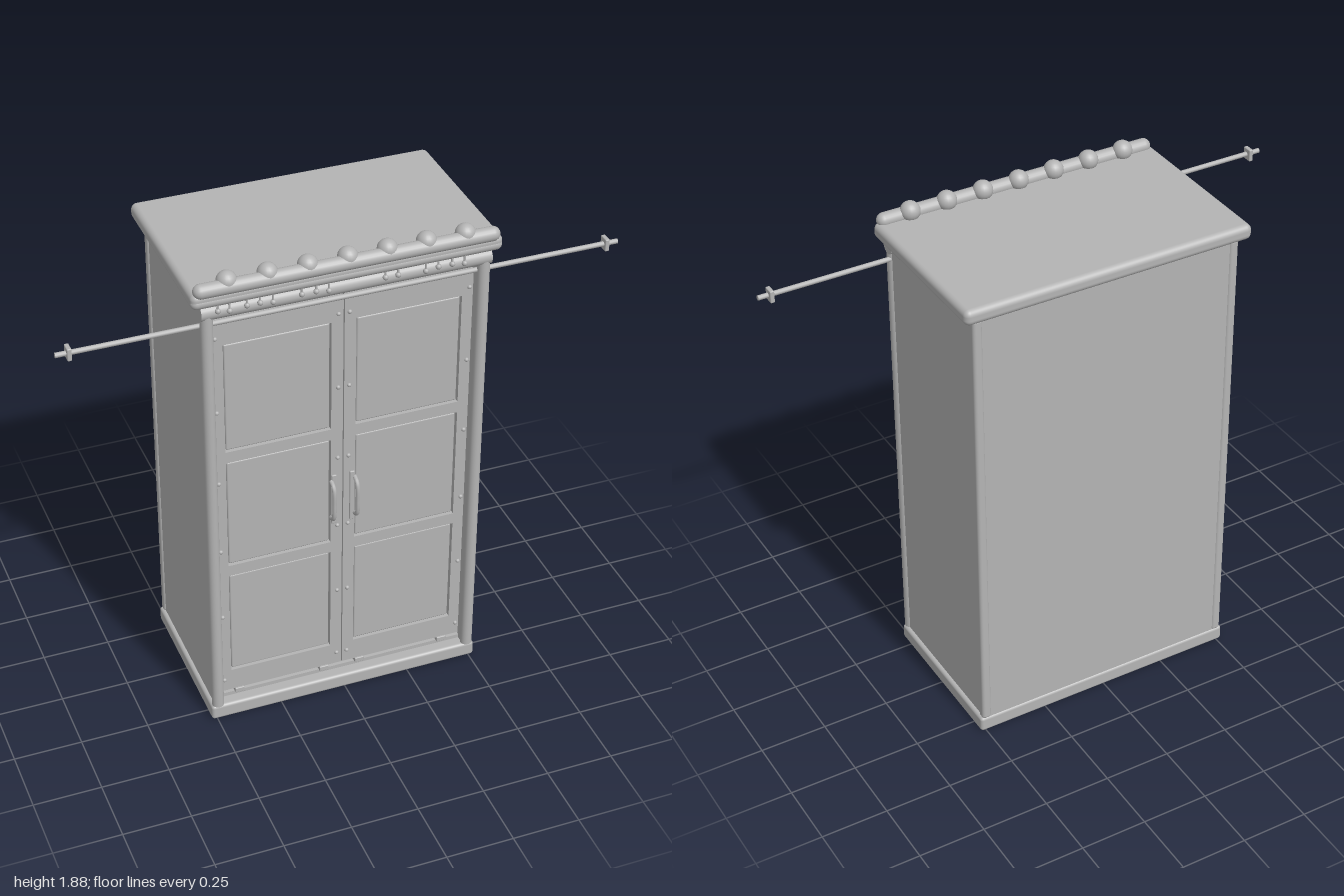
import * as THREE from 'three';
import { RoundedBoxGeometry } from 'three/addons/geometries/RoundedBoxGeometry.js';

export function createModel() {
  const root = new THREE.Group();
  root.name = 'wardrobe';
  const grey = new THREE.MeshStandardMaterial({ color: 0xb4b4b4 });
  grey.name = 'plain grey';

  const add = (name, geo, x, y, z, parent = root) => {
    const m = new THREE.Mesh(geo, grey);
    m.name = name;
    m.position.set(x, y, z);
    parent.add(m);
    return m;
  };
  // box given by its limits on each axis, with optional rounded edges
  const box = (name, [x0, x1], [y0, y1], [z0, z1], r = 0, parent = root) => {
    const s = [x1 - x0, y1 - y0, z1 - z0];
    const geo = r ? new RoundedBoxGeometry(...s, 4, r) : new THREE.BoxGeometry(...s);
    return add(name, geo, (x0 + x1) / 2, (y0 + y1) / 2, (z0 + z1) / 2, parent);
  };
  const capsuleX = (name, halfLength, r, y, z) => {
    const m = add(name, new THREE.CapsuleGeometry(r, 2 * (halfLength - r), 8, 20), 0, y, z);
    m.rotation.z = Math.PI / 2;
    return m;
  };

  // Carcass
  box('plinth', [-0.52, 0.52], [0, 0.06], [-0.315, 0.31], 0.012);
  box('carcass', [-0.505, 0.505], [0.05, 1.775], [-0.31, 0.235]);
  box('topSlab', [-0.55, 0.55], [1.77, 1.828], [-0.34, 0.325], 0.022);
  box('bottomRail', [-0.48, 0.48], [0.055, 0.075], [0.23, 0.265]);
  box('headRail', [-0.48, 0.48], [1.7, 1.775], [0.23, 0.27]);
  for (const s of [-1, 1]) {
    box('sidePanel', [s * 0.49 - 0.015, s * 0.49 + 0.015], [0.05, 1.775], [0.22, 0.295]);
    add('frontPost', new THREE.CylinderGeometry(0.022, 0.022, 1.68, 20), s * 0.493, 0.9, 0.294);
    box('backPost', [s * 0.494 - 0.018, s * 0.494 + 0.018], [0.055, 1.77], [-0.315, -0.279], 0.012);
  }

  // Cornice mouldings, with a row of balls on the upper one
  capsuleX('upperMoulding', 0.54, 0.026, 1.834, 0.308);
  capsuleX('lowerMoulding', 0.55, 0.022, 1.792, 0.305);
  const band = add('corniceBand', new THREE.CylinderGeometry(0.03, 0.03, 1.03, 20), 0, 1.742, 0.288);
  band.rotation.z = Math.PI / 2;
  for (let i = -3; i <= 3; i++) {
    add('corniceBall', new THREE.SphereGeometry(0.036, 20, 14), i * 0.14, 1.848, 0.295);
  }

  // Hanging beads in uneven clusters
  const drops = [-0.46, -0.42, -0.36, -0.315, -0.27, -0.17, -0.12, -0.075,
    0.125, 0.17, 0.27, 0.315, 0.365, 0.41];
  drops.forEach((x, i) => {
    const y = i % 3 === 1 ? 1.748 : 1.755;
    add('beadStem', new THREE.CylinderGeometry(0.004, 0.004, 0.035, 8), x, y + 0.012, 0.319);
    add('bead', new THREE.SphereGeometry(0.01, 12, 8), x, y, 0.32);
  });

  // Curtain rod with end brackets
  const rod = add('rod', new THREE.CylinderGeometry(0.009, 0.009, 2, 12), 0, 1.69, 0.285);
  rod.rotation.z = Math.PI / 2;
  for (const s of [-1, 1]) {
    box('rodBracket', [s * 0.955 - 0.008, s * 0.955 + 0.008], [1.667, 1.713], [0.263, 0.303], 0.004);
  }

  // Doors: frame with three openings, recessed panels, studs and handle
  const rows = [[0.18, 0.615], [0.66, 1.105], [1.15, 1.585]];
  for (const s of [-1, 1]) {
    const door = new THREE.Group();
    door.name = s < 0 ? 'rightDoor' : 'leftDoor';
    root.add(door);
    const rect = (path, a, b, y0, y1) => {
      path.moveTo(a, y0).lineTo(b, y0).lineTo(b, y1).lineTo(a, y1).lineTo(a, y0);
      return path;
    };
    const [x0, x1] = s < 0 ? [-0.47, -0.002] : [0.002, 0.47];
    const [p0, p1] = s < 0 ? [-0.43, -0.045] : [0.045, 0.43];
    const frame = rect(new THREE.Shape(), x0, x1, 0.09, 1.685);
    for (const [a, b] of rows) frame.holes.push(rect(new THREE.Path(), p0, p1, a, b));
    add('doorFrame', new THREE.ExtrudeGeometry(frame, { depth: 0.032, bevelEnabled: false }), 0, 0, 0.236, door);
    for (const [a, b] of rows) {
      box('doorPanel', [p0 + 0.004, p1 - 0.004], [a + 0.004, b - 0.004], [0.23, 0.262], 0.006, door);
    }
    for (let i = 0; i < 6; i++) {
      for (const x of [0.02, 0.457]) {
        add('stud', new THREE.SphereGeometry(0.008, 10, 8), s * x, 0.14 + i * 0.295, 0.268, door);
      }
    }
    box('handlePlate', [s * 0.034 - 0.009, s * 0.034 + 0.009], [0.745, 0.955], [0.262, 0.274], 0.003, door);
    const grip = new THREE.CatmullRomCurve3([
      [0.77, 0.268], [0.785, 0.295], [0.85, 0.302], [0.915, 0.295], [0.93, 0.268],
    ].map(([y, z]) => new THREE.Vector3(s * 0.044, y, z)));
    add('handle', new THREE.TubeGeometry(grip, 24, 0.008, 10), 0, 0, 0, door);
    for (const x of [0.07, 0.4]) {
      box('doorFoot', [s * x - 0.018, s * x + 0.018], [0.072, 0.092], [0.245, 0.275], 0.003, door);
    }
  }
  return root;
}
